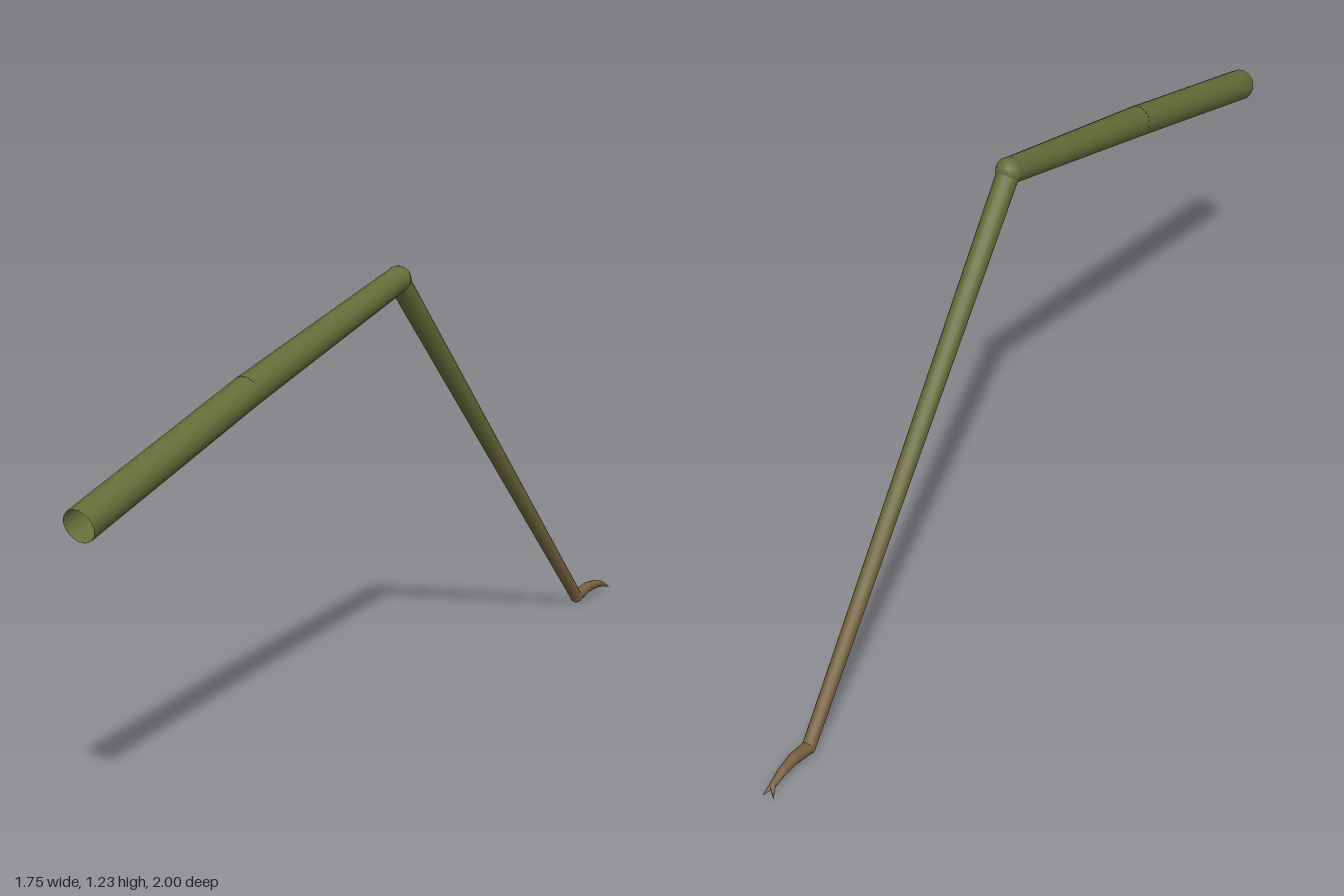
import * as THREE from 'three';

const OLIVE = new THREE.Color(0x626d38);
const BROWN = new THREE.Color(0x776040);
const V = (x, y, z) => new THREE.Vector3(x, y, z);

const paint = (t) => new THREE.MeshStandardMaterial({
  color: OLIVE.clone().lerp(BROWN, t), side: THREE.DoubleSide, roughness: 0.9,
});

// Tapered tube between two points; open ended
function limb(name, a, b, ra, rb, tone, sides = 14) {
  const dir = b.clone().sub(a);
  const geo = new THREE.CylinderGeometry(rb, ra, dir.length(), sides, 1, true);
  const mesh = new THREE.Mesh(geo, paint(tone));
  mesh.name = name;
  mesh.position.copy(a).add(b).multiplyScalar(0.5);
  mesh.quaternion.setFromUnitVectors(V(0, 1, 0), dir.normalize());
  return mesh;
}

// Round joint
function joint(name, p, r, tone) {
  const mesh = new THREE.Mesh(new THREE.SphereGeometry(r, 14, 10), paint(tone));
  mesh.name = name;
  mesh.position.copy(p);
  return mesh;
}

export function createModel() {
  const leg = new THREE.Group();
  leg.name = 'jointedLeg';

  const hip = V(-0.843, 0.84, 0.966);
  const thighMid = V(-0.4, 1.028, 0.46);
  const knee = V(0.06, 1.203, -0.052);
  const ankle = V(0.738, 0.025, -0.842);

  // Thigh, open at the hip
  leg.add(limb('thighUpper', hip, thighMid, 0.046, 0.044, 0));
  leg.add(limb('thighLower', thighMid, knee, 0.044, 0.036, 0));
  leg.add(joint('knee', knee, 0.037, 0));

  // Shin, fading from olive to brown towards the ankle
  const steps = 8;
  for (let i = 0; i < steps; i++) {
    const t0 = i / steps, t1 = (i + 1) / steps;
    const r = (t) => THREE.MathUtils.lerp(0.031, 0.018, t);
    const tone = THREE.MathUtils.smoothstep((t0 + t1) / 2, 0.25, 1);
    leg.add(limb('shin' + (i + 1), knee.clone().lerp(ankle, t0),
      knee.clone().lerp(ankle, t1), r(t0), r(t1), tone));
  }
  leg.add(joint('ankle', ankle, 0.019, 1));

  // Arched foot
  const foot = [ankle, V(0.783, 0.037, -0.893), V(0.815, 0.034, -0.93), V(0.845, 0.023, -0.965)];
  const radii = [0.018, 0.016, 0.013, 0.009];
  for (let i = 0; i < 3; i++) {
    leg.add(limb('foot' + (i + 1), foot[i], foot[i + 1], radii[i], radii[i + 1], 1, 10));
    leg.add(joint('footJoint' + (i + 1), foot[i + 1], radii[i + 1], 1));
  }

  // Forked claws
  leg.add(limb('clawLeft', foot[3], V(0.872, 0.008, -0.98), 0.008, 0.001, 1, 8));
  leg.add(limb('clawRight', foot[3], V(0.848, 0.008, -0.998), 0.008, 0.001, 1, 8));
  return leg;
}
